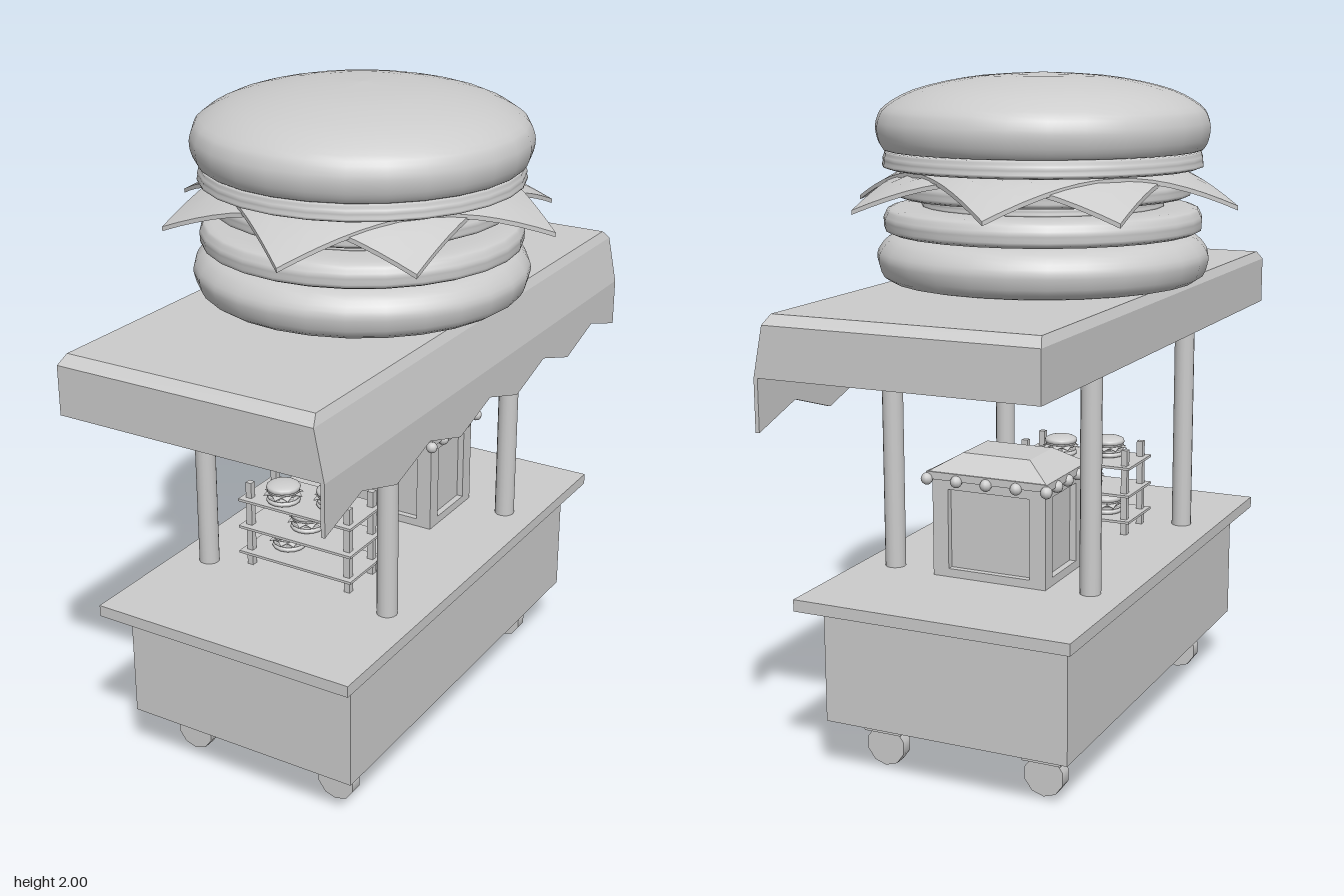
import * as THREE from 'three';

const mat = new THREE.MeshStandardMaterial({ color: 0xcccccc, side: THREE.DoubleSide });

function add(parent, name, geometry, x = 0, y = 0, z = 0) {
  const mesh = new THREE.Mesh(geometry, mat);
  mesh.name = name;
  mesh.position.set(x, y, z);
  parent.add(mesh);
  return mesh;
}

// Box given by its limits on each axis
function block(parent, name, x0, x1, y0, y1, z0, z1) {
  return add(parent, name, new THREE.BoxGeometry(x1 - x0, y1 - y0, z1 - z0),
    (x0 + x1) / 2, (y0 + y1) / 2, (z0 + z1) / 2);
}

// Box whose upper face is shrunk towards the middle
function taperedBlock(parent, name, x0, x1, y0, y1, z0, z1, insetX, insetZ) {
  const mesh = block(parent, name, x0, x1, y0, y1, z0, z1);
  const p = mesh.geometry.attributes.position;
  for (let i = 0; i < p.count; i++) {
    if (p.getY(i) > 0) {
      p.setX(i, p.getX(i) - Math.sign(p.getX(i)) * insetX);
      p.setZ(i, p.getZ(i) - Math.sign(p.getZ(i)) * insetZ);
    }
  }
  mesh.geometry.computeVertexNormals();
  return mesh;
}

// Turned layer from a few [radius, height] points
function layer(parent, name, points, segments) {
  const curve = new THREE.SplineCurve(points.map(([r, y]) => new THREE.Vector2(r, y)));
  const profile = curve.getPoints(points.length * 3).map(p => new THREE.Vector2(Math.max(p.x, 0), p.y));
  add(parent, name, new THREE.LatheGeometry(profile, segments));
}

// Round-edged disc
function disc(parent, name, r, y0, y1, segments) {
  const h = y1 - y0;
  layer(parent, name, [[0, y0], [r * 0.6, y0], [r - h * 0.25, y0 + h * 0.06], [r, y0 + h * 0.4],
    [r - h * 0.05, y0 + h * 0.7], [r - h * 0.4, y1 - h * 0.04], [r * 0.6, y1], [0, y1]], segments);
}

// Square slice with drooping corners
function cheese(parent, y, angle) {
  const geo = new THREE.BoxGeometry(0.83, 0.013, 0.83, 14, 1, 14);
  const p = geo.attributes.position;
  for (let i = 0; i < p.count; i++) {
    const r = Math.hypot(p.getX(i), p.getZ(i));
    p.setY(i, p.getY(i) - 0.56 * Math.max(0, r - 0.4));
  }
  geo.computeVertexNormals();
  add(parent, 'cheeseSlice', geo, 0, y, 0).rotation.y = angle;
}

function makeBurger(segments) {
  const burger = new THREE.Group();
  disc(burger, 'bottomBun', 0.495, 0, 0.15, segments);
  disc(burger, 'lowerPatty', 0.475, 0.145, 0.228, segments);
  disc(burger, 'onion', 0.36, 0.22, 0.265, segments);
  disc(burger, 'tomato', 0.44, 0.25, 0.32, segments);
  cheese(burger, 0.328, 0);
  cheese(burger, 0.336, THREE.MathUtils.degToRad(53.3));
  disc(burger, 'upperPatty', 0.475, 0.335, 0.395, segments);
  layer(burger, 'topBun', [[0, 0.39], [0.3, 0.39], [0.45, 0.39], [0.48, 0.4], [0.495, 0.44], [0.492, 0.48],
    [0.465, 0.52], [0.37, 0.568], [0.2, 0.603], [0, 0.615]], segments);
  return burger;
}

export function createModel() {
  const model = new THREE.Group();
  model.name = 'burgerCart';

  // Cart body and counter
  block(model, 'cartBody', -0.39, 0.37, 0.165, 0.525, -0.69, 0.69);
  block(model, 'counter', -0.435, 0.415, 0.52, 0.555, -0.777, 0.777);

  // Casters and roof posts
  for (const z of [-1, 1]) {
    for (const x of [-0.265, 0.245]) {
      block(model, 'casterMount', x - 0.06, x + 0.06, 0.108, 0.166, z * 0.55 - 0.038, z * 0.55 + 0.038);
      const wheel = new THREE.CylinderGeometry(0.062, 0.062, 0.04, 10).rotateX(Math.PI / 2);
      add(model, 'wheel', wheel, x, 0.063, z * 0.55);
    }
    for (const x of [-0.325, 0.307]) {
      add(model, 'roofPost', new THREE.CylinderGeometry(0.031, 0.031, 0.8, 16), x, 0.95, z * 0.38);
    }
  }

  // Hollow canopy with chamfered top
  const roof = new THREE.Group();
  roof.name = 'canopy';
  model.add(roof);
  taperedBlock(roof, 'canopyTop', -0.412, 0.4, 1.36, 1.387, -0.908, 0.908, 0.012, 0.03);
  block(roof, 'backWall', -0.412, -0.395, 1.215, 1.36, -0.908, 0.908);
  const slant = y => 0.4 + 0.03 * Math.min(1, (1.36 - y) / 0.145);
  for (const s of [-1, 1]) {
    const end = new THREE.Shape([[-0.412, 1.215], [slant(1.215), 1.215], [slant(1.36), 1.36], [-0.412, 1.36]]
      .map(([x, y]) => new THREE.Vector2(x, y)));
    add(roof, 'endWall', new THREE.ExtrudeGeometry(end, { depth: 0.017, bevelEnabled: false }),
      0, 0, s > 0 ? 0.891 : -0.908);
  }
  const slope = new THREE.Shape([[0.388, 1.36], [0.4, 1.36], [0.43, 1.215], [0.418, 1.215]]
    .map(([x, y]) => new THREE.Vector2(x, y)));
  add(roof, 'slopedWall', new THREE.ExtrudeGeometry(slope, { depth: 1.816, bevelEnabled: false }), 0, 0, -0.908);

  // Zigzag valance
  const zig = new THREE.Shape();
  zig.moveTo(-0.908, 1.215);
  for (let i = 0; i <= 10; i++) zig.lineTo(-0.908 + i * 0.1816, i % 2 ? 1.122 : 1.065);
  zig.lineTo(0.908, 1.215);
  const valance = new THREE.ExtrudeGeometry(zig, { depth: 0.012, bevelEnabled: false });
  add(roof, 'valance', valance, 0.418).rotation.y = Math.PI / 2;

  // Giant burger on the roof
  const sign = makeBurger(28);
  sign.name = 'roofBurger';
  sign.position.set(-0.005, 1.385, 0);
  model.add(sign);

  // Display rack with small burgers
  const rack = new THREE.Group();
  rack.name = 'displayRack';
  model.add(rack);
  for (const y of [0.605, 0.69, 0.78]) block(rack, 'shelf', -0.225, 0.17, y - 0.008, y, 0.165, 0.36);
  for (const x of [-0.2, 0.145]) {
    for (const z of [0.195, 0.33]) block(rack, 'rackPost', x - 0.01, x + 0.01, 0.555, 0.83, z - 0.01, z + 0.01);
  }
  for (const [x, y, z] of [[-0.1, 0.78, 0.3], [0.045, 0.78, 0.25], [-0.04, 0.69, 0.262], [-0.112, 0.605, 0.255]]) {
    const small = makeBurger(14);
    small.name = 'smallBurger';
    small.scale.setScalar(0.105);
    small.position.set(x, y, z);
    rack.add(small);
  }

  // Warming case: corner frame, recessed panes, roof and bulbs
  const box = new THREE.Group();
  box.name = 'warmingCase';
  box.position.set(-0.02, 0, -0.28);
  model.add(box);
  block(box, 'panes', -0.16, 0.16, 0.56, 0.85, -0.115, 0.115);
  block(box, 'caseBase', -0.18, 0.18, 0.555, 0.58, -0.135, 0.135);
  block(box, 'caseHeader', -0.18, 0.18, 0.82, 0.855, -0.135, 0.135);
  for (const x of [-1, 1]) {
    for (const z of [-1, 1]) {
      const post = new THREE.BoxGeometry(0.05, 0.29, 0.05);
      add(box, 'casePost', post, x * 0.155, 0.705, z * 0.11);
    }
  }
  block(box, 'caseRoofEdge', -0.192, 0.192, 0.85, 0.872, -0.15, 0.15);
  taperedBlock(box, 'caseRoof', -0.187, 0.187, 0.872, 0.92, -0.145, 0.145, 0.08, 0.065);
  const bulb = new THREE.SphereGeometry(0.018, 10, 8);
  for (const s of [-1, 1]) {
    for (let i = 0; i < 5; i++) add(box, 'bulb', bulb, -0.19 + i * 0.095, 0.85, s * 0.15);
    for (let i = 1; i < 4; i++) add(box, 'bulb', bulb, s * 0.19, 0.85, -0.15 + i * 0.075);
  }

  return model;
}
